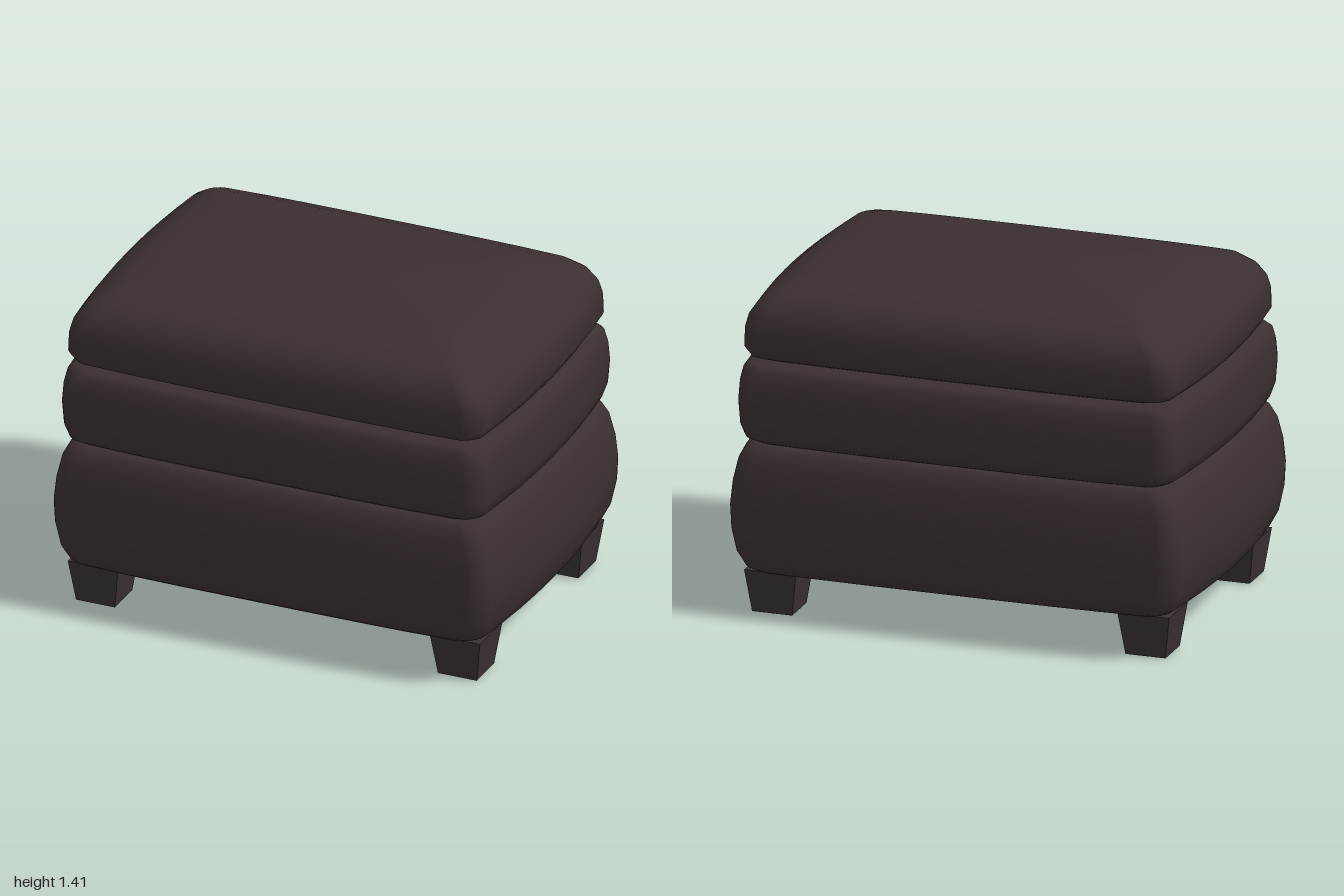
import * as THREE from 'three';

const mat = (name, color, side = THREE.FrontSide) => {
  const m = new THREE.MeshStandardMaterial({ color, side });
  m.name = name;
  return m;
};

// Rounded rectangle outline whose sides bow outward in the middle
function outline(hx, hz) {
  const pts = [], r = Math.min(0.07, hx * 0.3, hz * 0.3), arc = 5, side = 8;
  const corners = [[1, 1], [-1, 1], [-1, -1], [1, -1]];
  corners.forEach(([sx, sz], i) => {
    for (let k = 0; k <= arc; k++) {
      const a = (i + k / arc) * Math.PI / 2;
      pts.push([sx * (hx - r) + r * Math.cos(a), sz * (hz - r) + r * Math.sin(a)]);
    }
    const [nx, nz] = corners[(i + 1) % 4];
    const a = (i + 1) * Math.PI / 2;
    const from = pts[pts.length - 1];
    const to = [nx * (hx - r) + r * Math.cos(a), nz * (hz - r) + r * Math.sin(a)];
    for (let k = 1; k < side; k++) {
      pts.push([from[0] + (to[0] - from[0]) * k / side, from[1] + (to[1] - from[1]) * k / side]);
    }
  });
  return pts.map(([x, z]) => [
    x * (1 - 0.05 * (z / hz) ** 2),
    z * (1 - 0.03 * (x / hx) ** 4),
  ]);
}

// Cushion lofted through [y, half width, half depth] sections, closed at both ends
function cushion(sections) {
  const rings = sections.map(([y, hx, hz]) => outline(hx, hz).map(([x, z]) => [x, y, z]));
  const n = rings[0].length, pos = rings.flat(2), index = [];
  for (let r = 0; r < rings.length - 1; r++) {
    for (let i = 0; i < n; i++) {
      const a = r * n + i, b = r * n + (i + 1) % n;
      index.push(a, a + n, b, b, a + n, b + n);
    }
  }
  const low = pos.length / 3, high = low + 1, last = (rings.length - 1) * n;
  pos.push(0, sections[0][0], 0, 0, sections[sections.length - 1][0], 0);
  for (let i = 0; i < n; i++) {
    const j = (i + 1) % n;
    index.push(low, i, j, high, last + j, last + i);
  }
  const g = new THREE.BufferGeometry();
  g.setAttribute('position', new THREE.Float32BufferAttribute(pos, 3));
  g.setIndex(index);
  g.computeVertexNormals();
  return g;
}

export function createModel() {
  const group = new THREE.Group();
  group.name = 'ottoman';
  const leather = mat('dark brown leather', 0x3a302f);
  const wood = mat('dark leg wood', 0x3a3131);
  const lining = mat('brown lining', 0x4f3c2a);
  const add = (name, geometry, material) => {
    const mesh = new THREE.Mesh(geometry, material);
    mesh.name = name;
    group.add(mesh);
    return mesh;
  };

  // Three stacked cushions
  add('baseCushion', cushion([
    [0.18, 0.88, 0.59], [0.18, 0.92, 0.63], [0.2, 0.945, 0.66], [0.26, 0.975, 0.685],
    [0.36, 0.995, 0.697], [0.46, 1.0, 0.699], [0.56, 0.99, 0.694], [0.65, 0.97, 0.68],
    [0.7, 0.945, 0.66], [0.718, 0.91, 0.63], [0.722, 0.86, 0.58],
  ]), leather);
  add('middleCushion', cushion([
    [0.722, 0.86, 0.58], [0.724, 0.91, 0.63], [0.745, 0.945, 0.662], [0.8, 0.963, 0.677],
    [0.9, 0.97, 0.682], [0.98, 0.965, 0.675], [1.03, 0.955, 0.663],
    [1.055, 0.93, 0.64], [1.063, 0.87, 0.58],
  ]), leather);
  add('topCushion', cushion([
    [1.063, 0.82, 0.53], [1.067, 0.88, 0.6], [1.085, 0.93, 0.64], [1.12, 0.952, 0.658],
    [1.2, 0.948, 0.659], [1.25, 0.935, 0.65], [1.3, 0.9, 0.628], [1.345, 0.845, 0.578],
    [1.375, 0.77, 0.5], [1.395, 0.68, 0.4], [1.405, 0.58, 0.28], [1.41, 0.35, 0.14],
  ]), leather);

  // Flat lining under the base
  add('baseLining', new THREE.BoxGeometry(1.74, 0.006, 1.18).translate(0, 0.177, 0), lining);

  // Four tapered square legs
  const leg = new THREE.CylinderGeometry(0.11 * Math.SQRT2, 0.085 * Math.SQRT2, 0.18, 4, 1)
    .rotateY(Math.PI / 4).toNonIndexed();
  leg.computeVertexNormals();
  for (const [x, fb] of [[1, 'front'], [1, 'back'], [-1, 'front'], [-1, 'back']]) {
    add(fb + (x > 0 ? 'Left' : 'Right') + 'Leg', leg, wood)
      .position.set(x * 0.793, 0.09, fb === 'front' ? 0.497 : -0.497);
  }
  return group;
}
